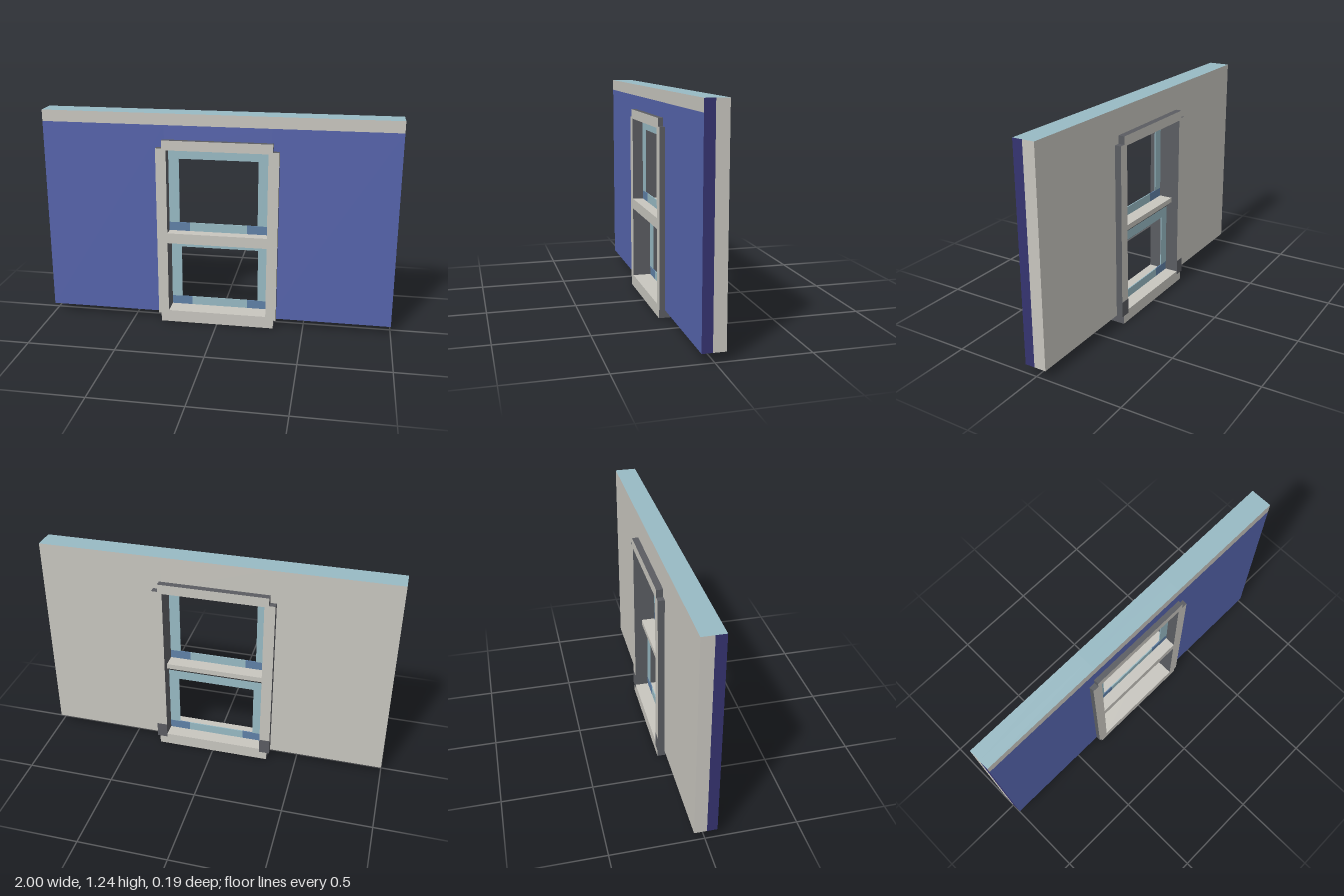
import * as THREE from 'three';

export function createModel() {
  const mat = (name, color) => {
    const m = new THREE.MeshStandardMaterial({ color });
    m.name = name;
    return m;
  };
  const beige = mat('pale stone', 0xc7c5be);
  const blue = mat('blue wall', 0x5563ab);
  const navy = mat('navy edge', 0x353370);
  const sky = mat('light blue', 0x97b9c3);
  const steel = mat('steel blue', 0x5f80a6);
  const dark = mat('dark grey', 0x5a5c61);

  const root = new THREE.Group();
  root.name = 'windowWall';
  const group = (name) => {
    const g = new THREE.Group();
    g.name = name;
    root.add(g);
    return g;
  };

  // Box given by its limits; materials are one, or [ends, top, bottom, front, back]
  function box(parent, name, [x0, x1], [y0, y1], [z0, z1], m) {
    const geo = new THREE.BoxGeometry(x1 - x0, y1 - y0, z1 - z0);
    geo.translate((x0 + x1) / 2, (y0 + y1) / 2, (z0 + z1) / 2);
    const mesh = new THREE.Mesh(geo, Array.isArray(m) ? [m[0], ...m] : m);
    mesh.name = name;
    parent.add(mesh);
    return mesh;
  }

  // Wall: painted front layer, plain back layer, pale band along the top
  const wall = group('wall');
  const front = [0.01, 0.066], back = [-0.058, 0.01];
  const painted = [navy, sky, dark, blue, beige];
  const band = [navy, sky, dark, beige, beige];
  const plain = [beige, sky, dark, beige, beige];
  for (const [name, xs, y] of [
    ['wallRight', [-1, -0.3], 0.05],
    ['wallLeft', [0.3, 1], 0.05],
    ['wallAbove', [-0.3, 0.3], 1.04],
  ]) {
    box(wall, name + 'Front', xs, [y, 1.17], front, painted);
    box(wall, name + 'Band', xs, [1.17, 1.235], front, band);
    box(wall, name + 'Back', xs, [y, 1.235], back, plain);
  }

  // Window casing, running through the wall
  const casing = group('casing');
  const depth = [-0.095, 0.095];
  const trim = [dark, dark, dark, beige, beige];
  const ledge = [dark, beige, dark, beige, beige];
  for (const s of [-1, 1]) {
    const side = s < 0 ? 'Right' : 'Left';
    const xs = s < 0 ? [-0.345, -0.285] : [0.285, 0.345];
    box(casing, 'jamb' + side, xs, [0.05, 1.045], depth, trim);
    // dark foot on the back of the jamb
    box(casing, 'jambFoot' + side, xs, [0.05, 0.14], [-0.097, -0.094], dark);
  }
  box(casing, 'head', [-0.31, 0.31], [1.045, 1.09], depth, trim);
  box(casing, 'headLip', [-0.285, 0.285], [1.035, 1.045], depth, trim);
  box(casing, 'sill', [-0.33, 0.33], [0, 0.05], depth, trim);
  box(casing, 'sillTop', [-0.285, 0.285], [0.05, 0.07], depth, ledge);

  // Meeting rail with its lower back edge cut off at an angle
  box(casing, 'meetingRail', [-0.285, 0.285], [0.52, 0.55], [-0.05, 0.095], ledge);
  const lower = box(casing, 'meetingRailUnderside', [-0.285, 0.285], [0.49, 0.52],
    [-0.05, 0.095], [dark, beige, dark, beige, dark]);
  const p = lower.geometry.attributes.position;
  for (let i = 0; i < p.count; i++) {
    if (p.getY(i) < 0.5 && p.getZ(i) < 0) p.setZ(i, -0.017);
  }
  lower.geometry.computeVertexNormals();

  // Thin open sashes with darker corners in the bottom rail
  function sash(name, z, y0, y1, glassBottom, glassTop) {
    const g = group(name);
    const zs = [z - 0.003, z + 0.003];
    box(g, 'topRail', [-0.285, 0.285], [glassTop, y1], zs, sky);
    box(g, 'bottomRail', [-0.165, 0.165], [y0, glassBottom], zs, sky);
    for (const s of [-1, 1]) {
      const span = (a, b) => (s < 0 ? [-b, -a] : [a, b]);
      box(g, 'stile', span(0.225, 0.285), [glassBottom, glassTop], zs, sky);
      box(g, 'corner', span(0.165, 0.285), [y0, glassBottom], zs, steel);
    }
  }
  sash('upperSash', 0.031, 0.55, 1.035, 0.6, 0.975);
  sash('lowerSash', -0.014, 0.07, 0.49, 0.12, 0.435);

  return root;
}
